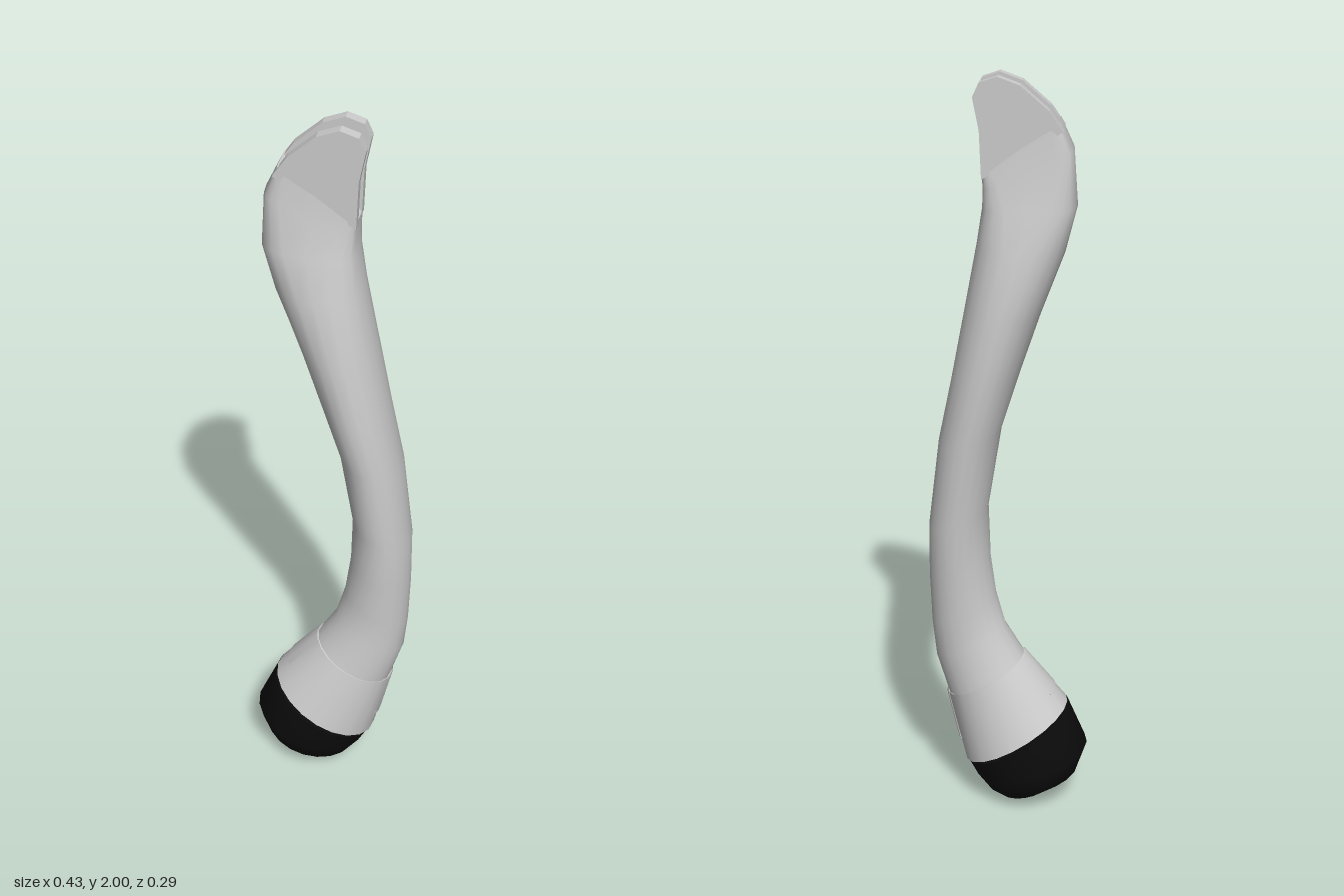
import * as THREE from 'three';

const SIDES = 20, CZ = -0.005;

// Each section: [leftX, leftY, rightX, rightY, halfDepth, power]; power < 1 makes it boxier.
const signedPow = (v, p) => Math.sign(v) * Math.pow(Math.abs(v), p);

function mixSections(a, b, t) {
  return a.map((v, i) => v + (b[i] - v) * t);
}

function grow(s, d) {
  return [s[0] - d, s[1], s[2] + d, s[3], s[4] + d, s[5]];
}

function collapse(s) {
  const x = (s[0] + s[2]) / 2, y = (s[1] + s[3]) / 2;
  return [x, y, x, y, 0, s[5]];
}

// Skin a list of tilted sections, bottom to top; a partial arc gives an open strip.
function loft(sections, from = 0, arc = Math.PI * 2, sides = SIDES) {
  const closed = arc > 6.28, cols = closed ? sides : sides + 1;
  const pos = [], index = [];
  for (const [lx, ly, rx, ry, hz, p] of sections) {
    for (let j = 0; j < cols; j++) {
      const a = from + (arc * j) / sides;
      const c = signedPow(Math.cos(a), p), s = signedPow(Math.sin(a), p);
      pos.push((lx + rx) / 2 + ((rx - lx) / 2) * c, (ly + ry) / 2 + ((ry - ly) / 2) * c, CZ + hz * s);
    }
  }
  for (let i = 0; i < sections.length - 1; i++) {
    for (let j = 0; j < sides; j++) {
      const k = closed ? (j + 1) % cols : j + 1;
      const a = i * cols + j, b = i * cols + k;
      index.push(a, a + cols, b, b, a + cols, b + cols);
    }
  }
  const g = new THREE.BufferGeometry();
  g.setAttribute('position', new THREE.Float32BufferAttribute(pos, 3));
  g.setIndex(index);
  g.computeVertexNormals();
  return g;
}

export function createModel() {
  const group = new THREE.Group();
  const grey = new THREE.MeshStandardMaterial({ color: 0xcccccc, side: THREE.DoubleSide });
  const black = new THREE.MeshStandardMaterial({ color: 0x0c0c0c, side: THREE.DoubleSide });
  const add = (name, geometry, material) => {
    const mesh = new THREE.Mesh(geometry, material);
    mesh.name = name;
    group.add(mesh);
  };

  const rim = [-0.16, 0.29, 0.12, 0.115, 0.139, 1];
  const seam = [-0.04, 0.435, 0.165, 0.315, 0.097, 1];

  // Curved shaft, flattening into a boxy tongue at the top
  const shaft = [
    seam,
    [0.01, 0.52, 0.2, 0.43, 0.082, 1],
    [0.035, 0.61, 0.21, 0.53, 0.081, 1],
    [0.05, 0.72, 0.215, 0.67, 0.088, 1],
    [0.055, 0.87, 0.214, 0.81, 0.097, 1],
    [0.02, 1.09, 0.185, 1.05, 0.114, 1],
    [-0.03, 1.25, 0.15, 1.22, 0.123, 1],
    [-0.08, 1.4, 0.112, 1.42, 0.124, 1],
    [-0.14, 1.56, 0.082, 1.58, 0.105, 0.9],
    [-0.17, 1.68, 0.068, 1.67, 0.078, 0.65],
    [-0.16, 1.82, 0.065, 1.72, 0.06, 0.4],
    [-0.125, 1.892, 0.065, 1.76, 0.052, 0.2],
  ];
  const end = shaft[shaft.length - 1];
  add('shaft', loft([...shaft, end, collapse(end)]), grey);

  // Two flat prongs either side of the slot in the tip
  const outline = new THREE.Shape();
  [[0.065, 1.75], [0.07, 1.87], [0.086, 1.95], [0.07, 1.985], [0.025, 2], [-0.03, 1.98],
    [-0.1, 1.92], [-0.135, 1.87]].forEach(([x, y], i) => (i ? outline.lineTo(x, y) : outline.moveTo(x, y)));
  for (const [name, z0, z1] of [['backProng', -0.057, -0.028], ['frontProng', 0.018, 0.047]]) {
    const g = new THREE.ExtrudeGeometry(outline, { depth: z1 - z0, bevelEnabled: false });
    g.translate(0, 0, z0);
    add(name, g, grey);
  }

  // Flared collar, slightly proud of the shaft
  const lip = grow(seam, 0.003);
  add('collar', loft([rim, lip, lip, seam]), grey);

  // Narrow tabs running down over the collar on both edges
  const tabEnd = mixSections(seam, rim, 0.68);
  for (const [name, angle] of [['leftTab', 0], ['rightTab', Math.PI]]) {
    add(name, loft([tabEnd, grow(tabEnd, 0.005), grow(seam, 0.006), seam], angle - 0.36, 0.72, 4), grey);
  }

  // Rounded black end cap
  const capRim = [-0.163, 0.285, 0.113, 0.113, 0.145, 1];
  add('endCap', loft([
    [-0.065, 0.004, -0.04, 0, 0.012, 1],
    [-0.125, 0.04, 0.028, 0.006, 0.08, 1],
    [-0.19, 0.09, 0.065, 0.037, 0.125, 1],
    [-0.215, 0.165, 0.09, 0.07, 0.144, 1],
    capRim, capRim, collapse(capRim),
  ]), black);

  return group;
}
